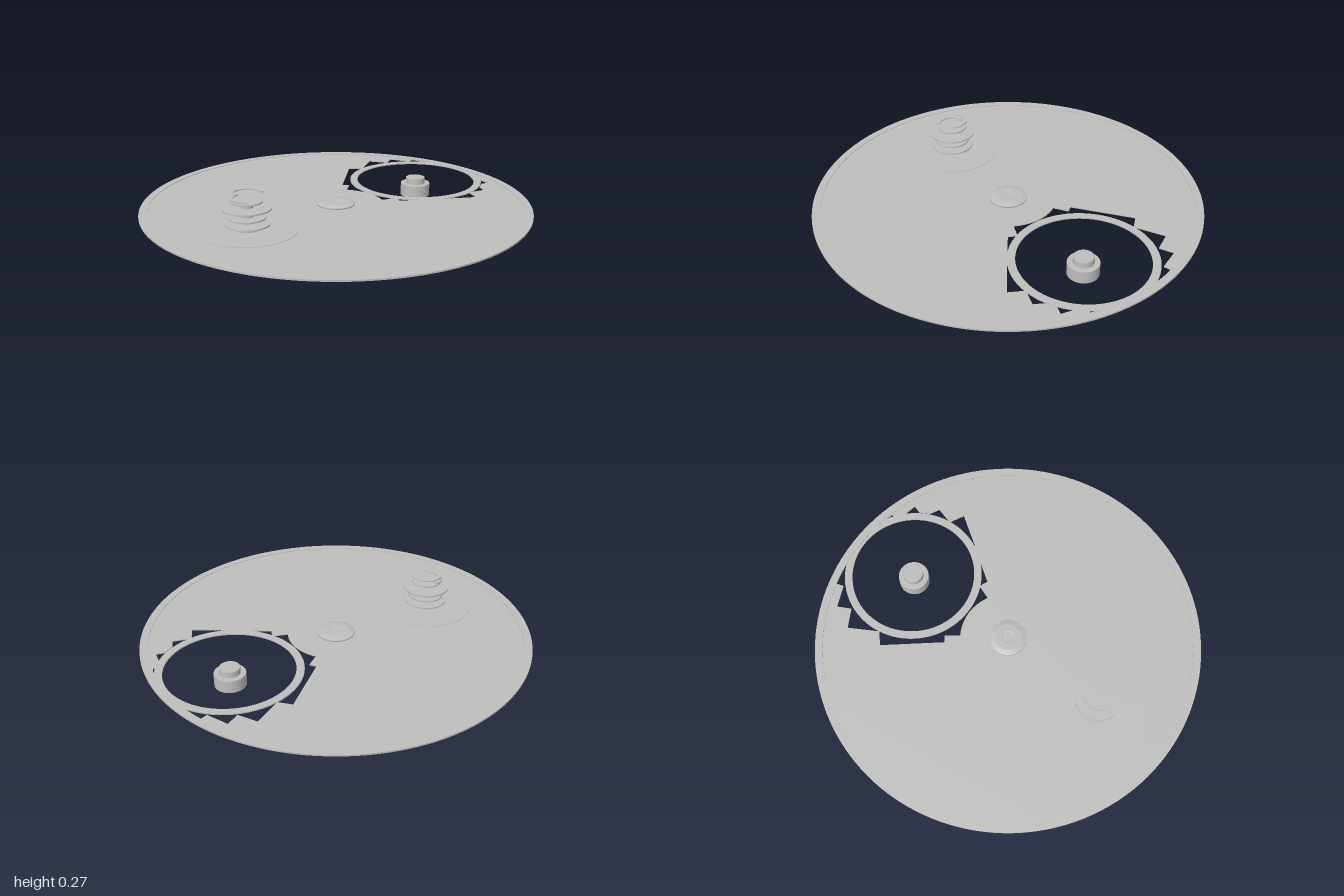
import * as THREE from 'three';

const grey = new THREE.MeshStandardMaterial({ color: 0xbebebc });
grey.name = 'plain grey';

function add(parent, name, geometry, x = 0, y = 0, z = 0) {
  const mesh = new THREE.Mesh(geometry, grey);
  mesh.name = name;
  mesh.position.set(x, y, z);
  parent.add(mesh);
  return mesh;
}

// flat plate lying in the xz plane, its underside at y = 0
function plate(shape, thickness) {
  return new THREE.ExtrudeGeometry(shape, { depth: thickness, bevelEnabled: false, curveSegments: 72 })
    .rotateX(-Math.PI / 2);
}

// flat ring or part of a ring; angles run from +x towards -z
function ring(inner, outer, thickness, start = 0, end = Math.PI * 2) {
  const shape = new THREE.Shape();
  if (end - start > 6.28) {
    shape.absarc(0, 0, outer, 0, Math.PI * 2, false);
    shape.holes.push(new THREE.Path().absarc(0, 0, inner, 0, Math.PI * 2, true));
  } else {
    shape.absarc(0, 0, outer, start, end, false);
    shape.absarc(0, 0, inner, end, start, true);
    shape.closePath();
  }
  return plate(shape, thickness);
}

function disc(radius, height, segments = 48) {
  return new THREE.CylinderGeometry(radius, radius, height, segments).translate(0, height / 2, 0);
}

// turned part with crisp edges: each straight run is doubled at its corners
function turned(points, segments = 48) {
  const profile = [];
  points.forEach(([r, y], i) => {
    const [pr, py] = points[i - 1] || [r, y];
    const [nr, ny] = points[i + 1] || [r, y];
    const e = 0.03;
    if (i > 0 && i < points.length - 1) {
      profile.push(new THREE.Vector2(r + (pr - r) * e, y + (py - y) * e));
      profile.push(new THREE.Vector2(r + (nr - r) * e, y + (ny - y) * e));
    } else profile.push(new THREE.Vector2(r, y));
  });
  return new THREE.LatheGeometry(profile, segments);
}

export function createModel() {
  const model = new THREE.Group();
  model.name = 'platform';
  const floor = 0.081, top = 0.086;

  // base plate with a ragged opening that keeps clear of the hub
  const base = new THREE.Shape().absarc(0, 0, 0.97, 0, Math.PI * 2, false);
  const ragged = [
    [0.214, -0.128], [0.283, -0.171], [0.262, -0.203], [0.529, -0.401], [0.578, -0.342],
    [0.727, -0.417], [0.775, -0.321], [0.845, -0.353], [0.888, -0.241], [0.93, -0.251],
    [0.952, -0.139], [0.96, 0], [0.936, 0.203], [0.92, 0.246], [0.909, 0.235],
    [0.866, 0.289], [0.85, 0.353], [0.807, 0.337], [0.754, 0.364], [0.727, 0.412],
    [0.636, 0.38], [0.594, 0.455], [0.444, 0.342], [0.417, 0.294], [0.358, 0.273],
    [0.267, 0.203], [0.289, 0.16], [0.214, 0.128],
  ];
  const opening = new THREE.Path(ragged.map(([x, z]) => new THREE.Vector2(x, -z)));
  opening.absarc(0, 0, 0.249, -0.54, 0.54, false);
  base.holes.push(opening);
  add(model, 'basePlate', plate(base, top - floor), 0, floor, 0);
  add(model, 'rim', ring(0.96, 1, 0.008), 0, floor, 0);

  // ring round the opening
  add(model, 'openingRing', ring(0.324, 0.364, 0.0056), 0.62, floor, 0.02);

  // central hub
  add(model, 'hub', turned([
    [0, 0.003], [0.097, 0.003], [0.097, 0.009], [0.07, 0.016], [0.032, 0.016], [0.03, 0.014], [0, 0.014],
  ]), 0, 0.083, 0);

  // stepped cap, hollow underneath
  add(model, 'hollowCap', turned([
    [0, 0.045], [0.076, 0.045], [0.076, 0], [0.08, 0], [0.08, 0.068],
    [0.052, 0.068], [0.052, 0.1], [0, 0.1],
  ]), 0.62, 0, 0.02);

  // stacked post on a low round pad
  const post = new THREE.Group();
  post.name = 'stackedPost';
  post.position.set(-0.567, 0, -0.04);
  model.add(post);
  add(post, 'pad', disc(0.246, 0.002, 72), 0, top, 0);
  add(post, 'foot', disc(0.06, 0.026), 0, top, 0);
  add(post, 'core', disc(0.03, 0.142), 0, top, 0);
  const collars = [[0.111, 0.112], [0.091, 0.143], [0.12, 0.19], [0.078, 0.224]];
  for (const [radius, y] of collars) add(post, 'collar', disc(radius, 0.007), 0, y, 0);
  // two part rings curling above the collars
  add(post, 'lowerCurl', ring(0.063, 0.085, 0.006, Math.PI / 2, 4.05), 0, 0.241, 0);
  add(post, 'upperCurl', ring(0.063, 0.085, 0.006, -0.5, 2.08), 0, 0.263, 0);

  return model;
}
